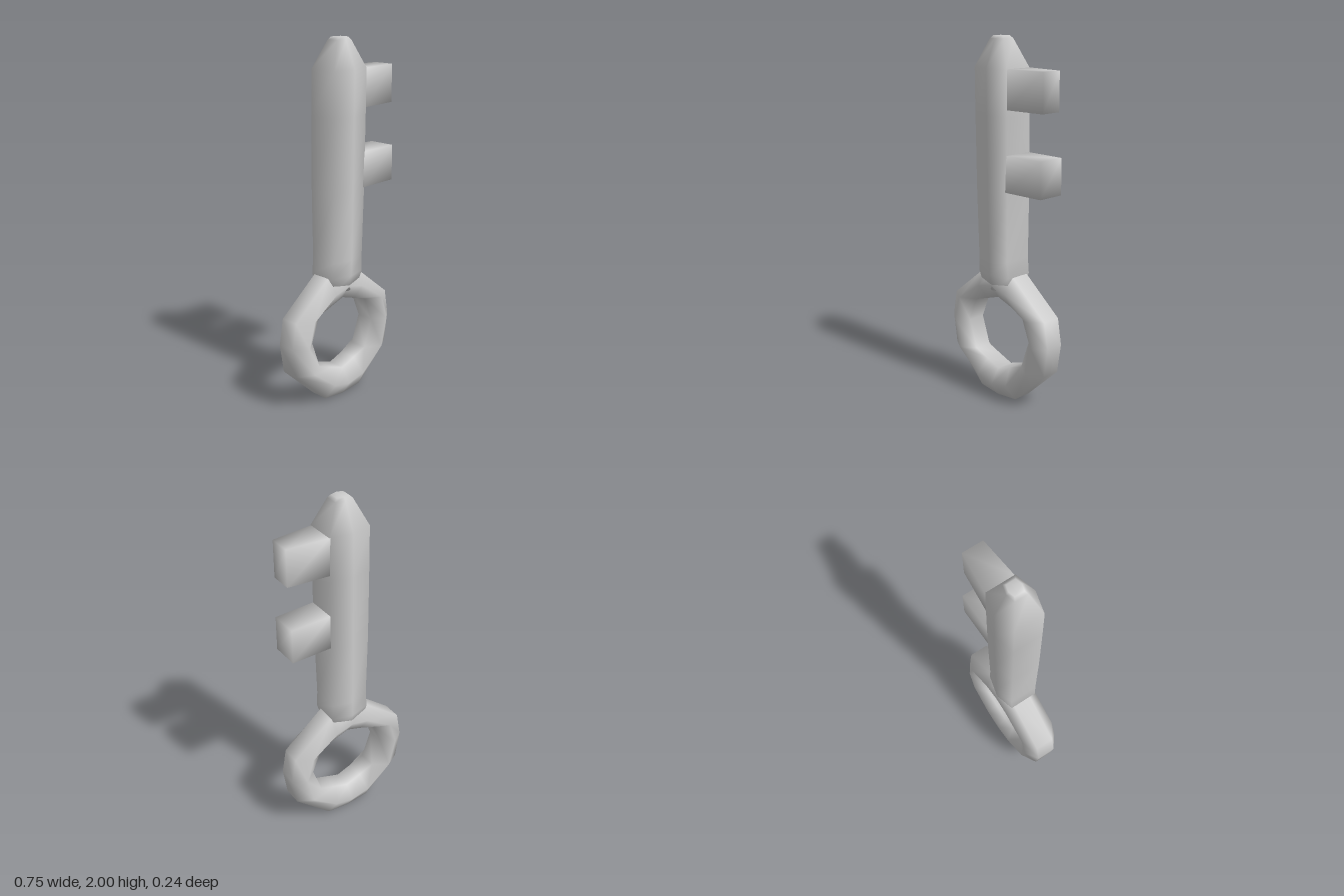
import * as THREE from 'three';

// Skins a row of equal-sized cross-sections; shared vertices give smooth normals
function loft(sections, closed) {
  const n = sections[0].length, m = sections.length;
  const pts = sections.flat();
  const index = [];
  for (let i = 0; i < (closed ? m : m - 1); i++) {
    for (let j = 0; j < n; j++) {
      const k = (j + 1) % n, i2 = (i + 1) % m;
      const a = i * n + j, b = i * n + k, c = i2 * n + k, d = i2 * n + j;
      index.push(a, b, c, a, c, d);
    }
  }
  if (!closed) {
    const last = (m - 1) * n;
    for (let j = 1; j < n - 1; j++) {
      index.push(0, j + 1, j, last, last + j, last + j + 1);
    }
  }
  // Turn the faces outward when the enclosed volume is negative
  const v = pts.map((p) => new THREE.Vector3(...p));
  let volume = 0;
  for (let i = 0; i < index.length; i += 3) {
    volume += v[index[i]].dot(v[index[i + 1]].clone().cross(v[index[i + 2]]));
  }
  if (volume < 0) index.reverse();
  const geometry = new THREE.BufferGeometry().setFromPoints(v);
  geometry.setIndex(index);
  geometry.computeVertexNormals();
  return geometry;
}

export function createModel() {
  const group = new THREE.Group();
  const material = new THREE.MeshStandardMaterial({ color: 0xcccccc });
  const add = (name, geometry) => {
    const mesh = new THREE.Mesh(geometry, material);
    mesh.name = name;
    group.add(mesh);
  };

  // Bow: hexagonal section swept round the loop; inner x, y then outer x, y
  const half = [
    [0, 0.59, 0, 0.75],
    [0.09, 0.56, 0.11, 0.73],
    [0.18, 0.53, 0.35, 0.535],
    [0.235, 0.39, 0.375, 0.39],
    [0.18, 0.23, 0.35, 0.225],
    [0.09, 0.197, 0.135, 0.02],
    [0, 0.165, 0, 0.005],
  ];
  const mirrored = half.slice(1, -1).reverse().map(([a, b, c, d]) => [-a, b, -c, d]);
  const ring = [...half, ...mirrored].map(([ix, iy, ox, oy]) => {
    const mx = (ix + ox) / 2, my = (iy + oy) / 2;
    return [
      [ix, iy, 0.04], [mx, my, 0.095], [ox, oy, 0.04],
      [ox, oy, -0.065], [mx, my, -0.115], [ix, iy, -0.06],
    ];
  });
  add('bow', loft(ring, true));

  // Shaft: six-sided section; y, half width, half depth, depth centre
  const shaft = [
    [0.64, 0.09, 0.09, -0.005],
    [0.73, 0.114, 0.108, -0.003],
    [0.82, 0.108, 0.109, 0],
    [1.2, 0.116, 0.112, 0.004],
    [1.6, 0.118, 0.113, 0.009],
    [1.84, 0.118, 0.113, 0.012],
    [1.985, 0.05, 0.048, 0.014],
    [2, 0.035, 0.036, 0.014],
  ].map(([y, w, d, z]) => [
    [0, y, z + d], [w, y, z + d * 0.73], [w, y, z - d * 0.73],
    [0, y, z - d], [-w, y, z - d * 0.73], [-w, y, z + d * 0.73],
  ]);
  add('shaft', loft(shaft, false));

  // Teeth: bottom, top, back and front of the tip
  const teeth = [
    ['upperTooth', 1.635, 1.84, -0.05, 0.068],
    ['lowerTooth', 1.205, 1.4, -0.075, 0.079],
  ];
  for (const [name, y0, y1, back, front] of teeth) {
    const sections = [[0.05, -0.07, 0.085], [0.118, -0.072, 0.09], [0.347, back, front]];
    add(name, loft(sections.map(([x, b, f]) => [
      [x, y0, f], [x, y1, f], [x, y1, b], [x, y0, b],
    ]), false));
  }
  return group;
}
